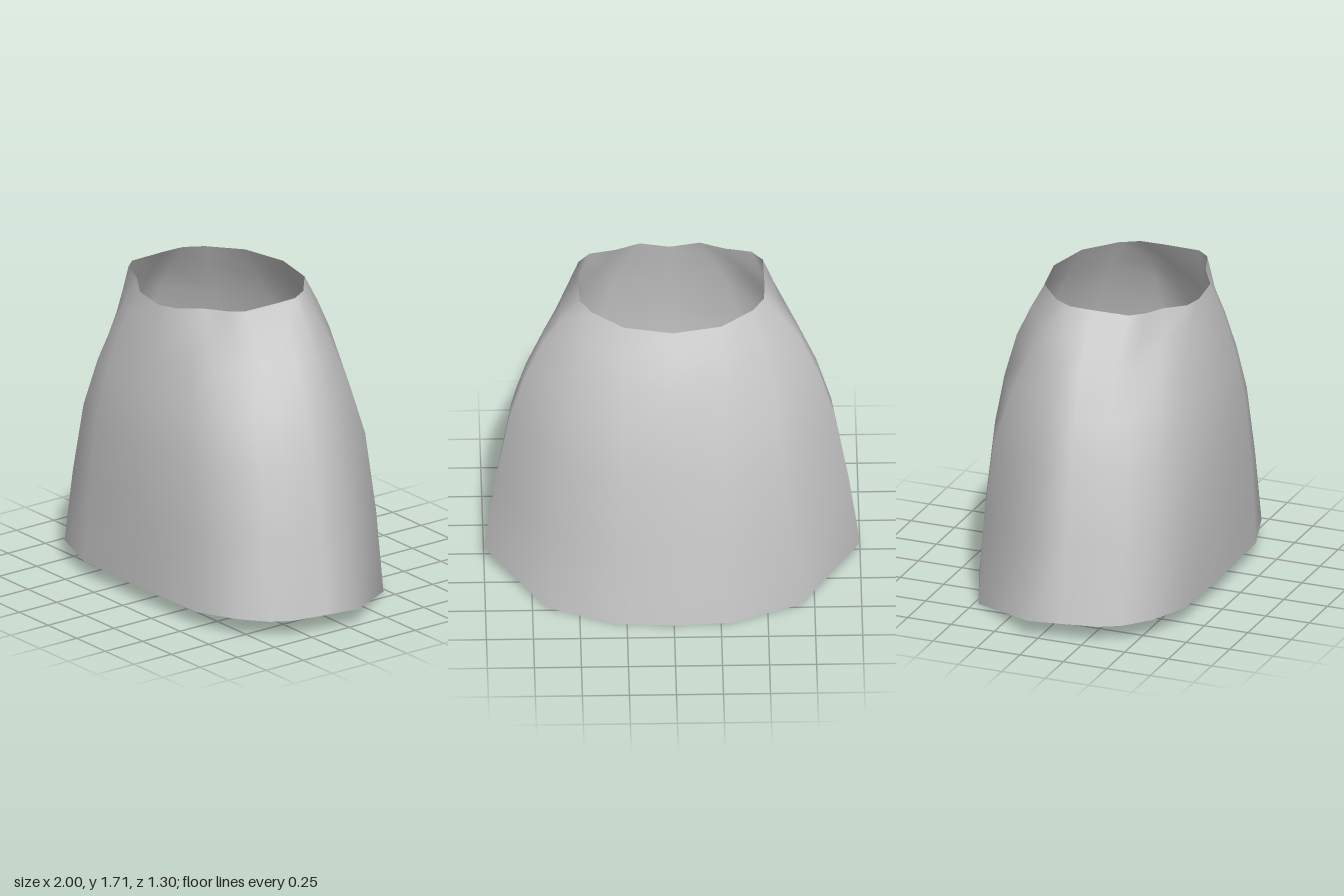
import * as THREE from 'three';

// Half outlines from front centre round the left side to back centre: [x, y, z]
const hem = [
  [0, 0.08, 0.645], [0.49, 0.08, 0.635], [0.76, 0.1, 0.555], [0.87, 0.09, 0.43], [0.935, 0.09, 0.315],
  [0.97, 0.09, 0.12], [1, 0.09, -0.06], [0.68, 0, -0.475], [0.3, 0, -0.63], [0, 0, -0.645],
];
const waist = [
  [0, 0.9, 0.645], [0.4, 0.9, 0.618], [0.64, 0.9, 0.52], [0.75, 0.9, 0.4], [0.815, 0.9, 0.295],
  [0.85, 0.92, 0.12], [0.867, 0.92, -0.04], [0.58, 0.88, -0.43], [0.27, 0.88, -0.55], [0, 0.88, -0.562],
];
const shoulder = [
  [0, 1.4, 0.575], [0.3, 1.4, 0.545], [0.44, 1.41, 0.475], [0.54, 1.42, 0.375], [0.61, 1.42, 0.285],
  [0.675, 1.42, 0.11], [0.69, 1.42, -0.025], [0.52, 1.4, -0.255], [0.27, 1.4, -0.425], [0, 1.4, -0.45],
];
const rim = [
  [0, 1.65, 0.51], [0.16, 1.675, 0.51], [0.29, 1.695, 0.43], [0.43, 1.71, 0.38], [0.49, 1.71, 0.31],
  [0.495, 1.71, 0.1], [0.49, 1.71, -0.03], [0.43, 1.71, -0.13], [0.26, 1.71, -0.27], [0, 1.71, -0.325],
];

// Mirror a half outline into a closed loop
function closeLoop(half) {
  const mirrored = half.slice(1, -1).reverse().map(([x, y, z]) => [-x, y, z]);
  return [...half, ...mirrored];
}

// Loft the open shell: a curve up each column, joined to its neighbour
function loftShell(outlines, steps) {
  const loops = outlines.map(closeLoop), n = loops[0].length;
  const positions = [], index = [];
  for (let i = 0; i < n; i++) {
    const column = new THREE.CatmullRomCurve3(loops.map((loop) => new THREE.Vector3(...loop[i])));
    column.getPoints(steps).forEach((point, s) => {
      positions.push(point.x, point.y, point.z);
      if (s === steps) return;
      const p = i * (steps + 1) + s, q = ((i + 1) % n) * (steps + 1) + s;
      index.push(p, q, q + 1, p, q + 1, p + 1);
    });
  }
  const geometry = new THREE.BufferGeometry();
  geometry.setAttribute('position', new THREE.Float32BufferAttribute(positions, 3));
  geometry.setIndex(index);
  geometry.computeVertexNormals();
  return geometry;
}

export function createModel() {
  const group = new THREE.Group();
  group.name = 'openShell';
  const lightGrey = new THREE.MeshStandardMaterial({ color: 0xcccccc, side: THREE.DoubleSide });
  lightGrey.name = 'light grey';
  const shell = new THREE.Mesh(loftShell([hem, waist, shoulder, rim], 6), lightGrey);
  shell.name = 'taperedShell';
  group.add(shell);
  return group;
}
